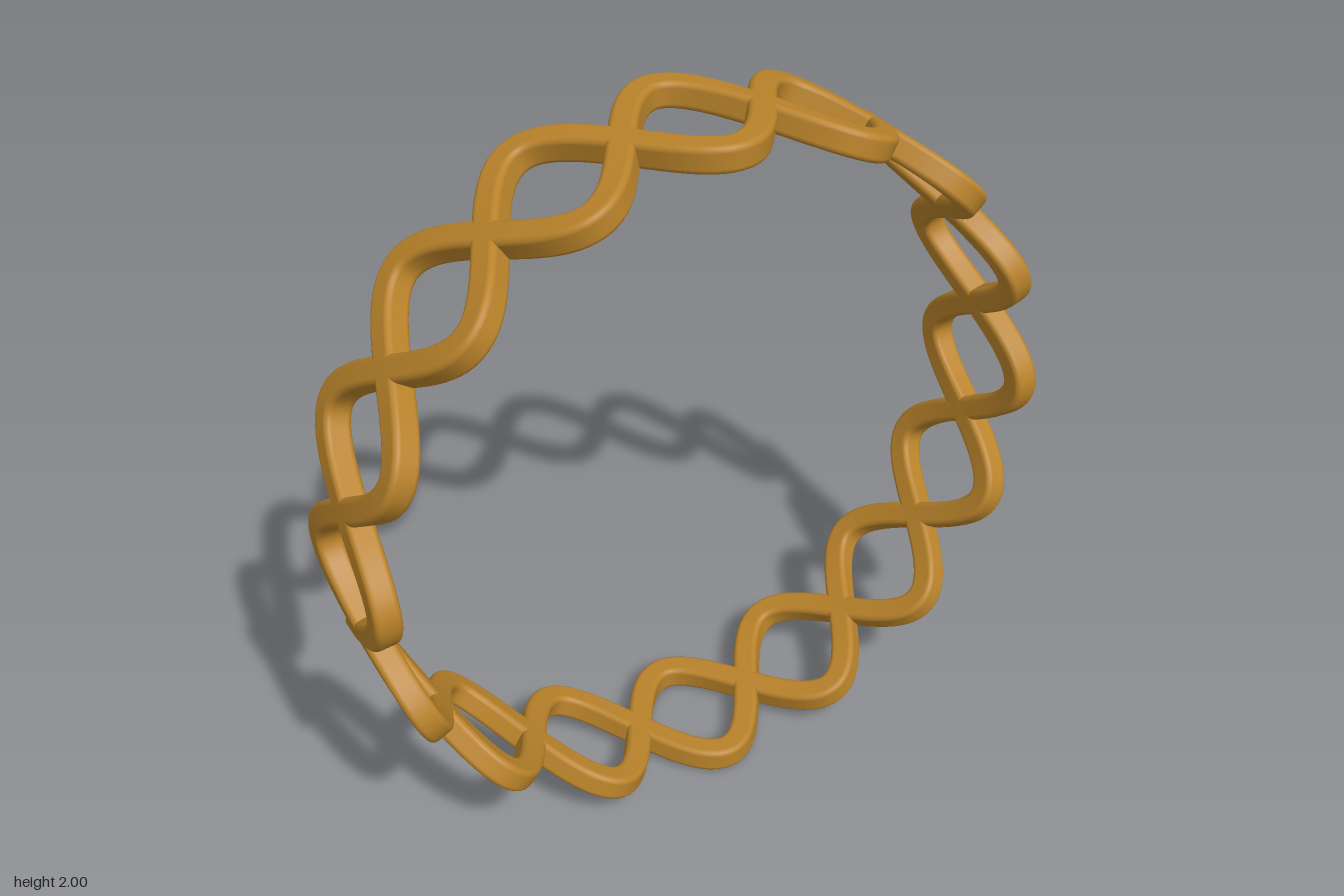
import * as THREE from 'three';

const RADIUS = 0.965;     // ring radius at the middle of the strands
const HALF = 0.036;       // half thickness of a strand
const BEVEL = 0.016;      // corner rounding of the square section
const AMPLITUDE = 0.19;   // sideways swing of the wave
const WAVES = 8;
const STEPS = 384;
const CORNER_STEPS = 4;

// Rounded square section: offsets and normals, going round corner by corner
function roundedSquare() {
  const points = [];
  const flat = HALF - BEVEL;
  for (let corner = 0; corner < 4; corner++) {
    const mid = (corner + 0.5) * Math.PI / 2;
    const cx = Math.sign(Math.cos(mid)) * flat;
    const cy = Math.sign(Math.sin(mid)) * flat;
    for (let k = 0; k <= CORNER_STEPS; k++) {
      const a = (corner + k / CORNER_STEPS) * Math.PI / 2;
      const nx = Math.cos(a), ny = Math.sin(a);
      points.push({ x: cx + BEVEL * nx, y: cy + BEVEL * ny, nx, ny });
    }
  }
  return points;
}

// Closed wavy strand around the ring; its section always faces radially
function strandGeometry(side) {
  const section = roundedSquare();
  const count = section.length;
  const positions = [], normals = [], indices = [];
  for (let i = 0; i < STEPS; i++) {
    const t = (i / STEPS) * Math.PI * 2;
    const radial = new THREE.Vector3(Math.cos(t), Math.sin(t), 0);
    const center = radial.clone().multiplyScalar(RADIUS);
    center.z = side * AMPLITUDE * Math.cos(WAVES * t);
    const tangent = new THREE.Vector3(
      -RADIUS * Math.sin(t),
      RADIUS * Math.cos(t),
      -side * AMPLITUDE * WAVES * Math.sin(WAVES * t)
    ).normalize();
    const across = new THREE.Vector3().crossVectors(tangent, radial);
    section.forEach((s, j) => {
      const p = center.clone().addScaledVector(across, s.x).addScaledVector(radial, s.y);
      const n = across.clone().multiplyScalar(s.nx).addScaledVector(radial, s.ny);
      positions.push(p.x, p.y, p.z);
      normals.push(n.x, n.y, n.z);
      const a = i * count + j;
      const b = ((i + 1) % STEPS) * count + j;
      const c = i * count + (j + 1) % count;
      const d = ((i + 1) % STEPS) * count + (j + 1) % count;
      indices.push(a, b, c, b, d, c);
    });
  }
  const geometry = new THREE.BufferGeometry();
  geometry.setAttribute('position', new THREE.Float32BufferAttribute(positions, 3));
  geometry.setAttribute('normal', new THREE.Float32BufferAttribute(normals, 3));
  geometry.setIndex(indices);
  return geometry;
}

export function createModel() {
  const group = new THREE.Group();
  group.name = 'braidedRing';
  const gold = new THREE.MeshStandardMaterial({ color: 0xb8822a });

  // Two mirrored strands crossing sixteen times
  for (const [name, side] of [['frontStrand', 1], ['backStrand', -1]]) {
    const strand = new THREE.Mesh(strandGeometry(side), gold);
    strand.name = name;
    strand.position.y = 1;
    group.add(strand);
  }
  return group;
}
